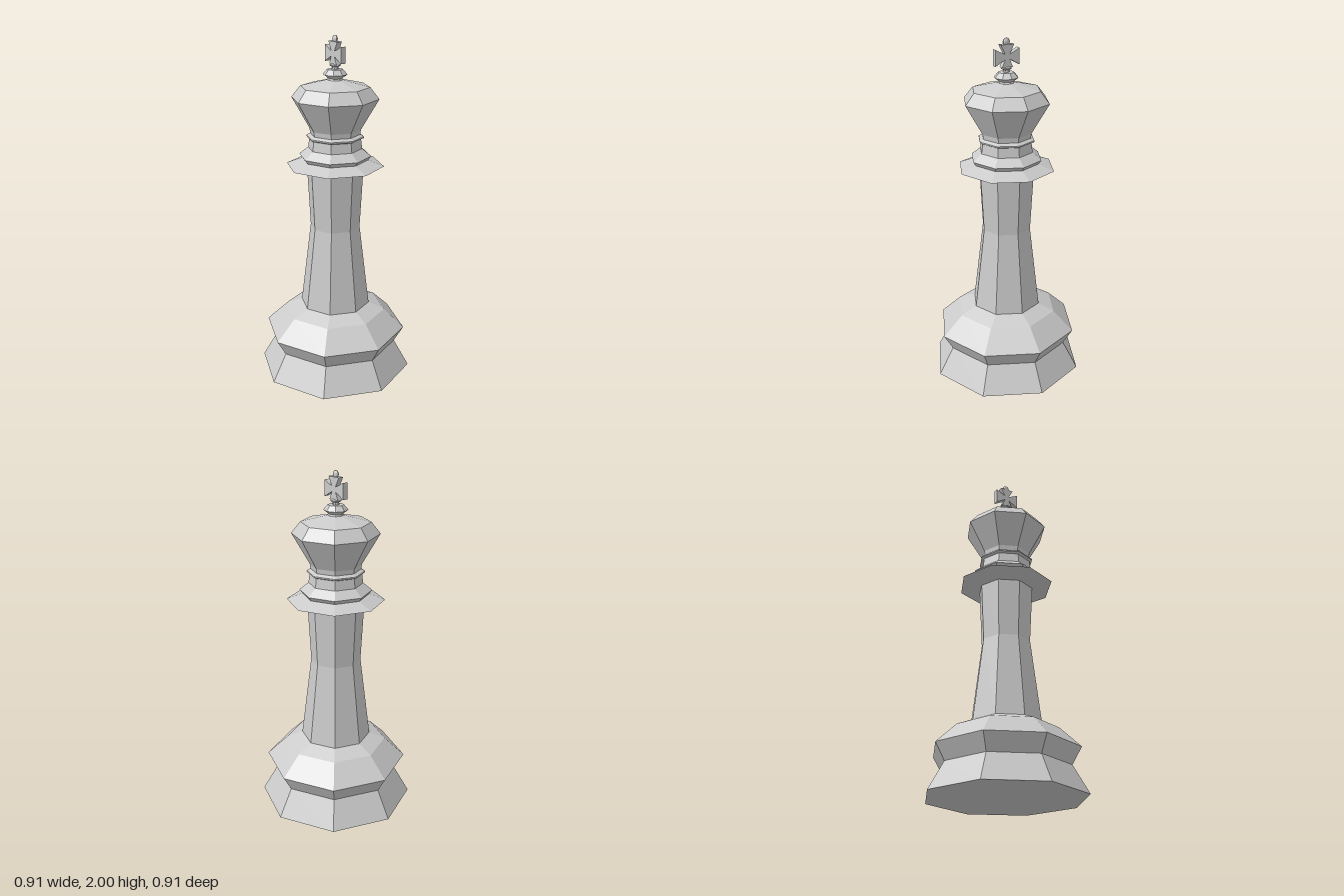
import * as THREE from 'three';

const material = new THREE.MeshStandardMaterial({ color: 0xcccccc, flatShading: true });

function add(group, name, geometry) {
  const mesh = new THREE.Mesh(geometry, material);
  mesh.name = name;
  group.add(mesh);
  return mesh;
}

// Eight-sided turned part from [radius, height] pairs, bottom to top
function turned(group, name, profile) {
  const points = profile.map(([r, y]) => new THREE.Vector2(r, y));
  return add(group, name, new THREE.LatheGeometry(points, 8));
}

export function createModel() {
  const king = new THREE.Group();
  king.name = 'chessKing';

  turned(king, 'base', [
    [0, 0], [0.455, 0], [0.365, 0.16], [0.42, 0.255], [0.3, 0.37], [0.205, 0.41], [0, 0.41],
  ]);
  turned(king, 'shaft', [[0.205, 0.41], [0.145, 0.9], [0.163, 1.24]]);
  turned(king, 'collar', [
    [0.163, 1.24], [0.281, 1.27], [0.19, 1.305], [0.207, 1.328], [0.155, 1.37],
  ]);
  turned(king, 'neck', [
    [0.155, 1.37], [0.148, 1.425], [0.164, 1.432], [0.164, 1.44], [0.143, 1.452], [0.147, 1.48],
  ]);
  turned(king, 'crown', [[0.147, 1.48], [0.248, 1.655], [0.196, 1.72], [0.045, 1.757]]);
  turned(king, 'finial', [
    [0.045, 1.757], [0.04, 1.765], [0.069, 1.787], [0.045, 1.815], [0, 1.817],
  ]);

  // Cross with flared arms, facing sideways
  turned(king, 'crossFoot', [
    [0.02, 1.81], [0.018, 1.828], [0.03, 1.834], [0.03, 1.84], [0.016, 1.846], [0, 1.846],
  ]);
  const half = [
    [0.033, 1.842], [0.014, 1.886], [0.073, 1.852], [0.073, 1.943], [0.014, 1.914], [0.04, 1.966],
  ];
  const outline = [...half, ...half.map(([z, y]) => [-z, y]).reverse()];
  const shape = new THREE.Shape(outline.map(([z, y]) => new THREE.Vector2(z, y)));
  const crossGeometry = new THREE.ExtrudeGeometry(shape, { depth: 0.032, bevelEnabled: false });
  crossGeometry.translate(0, 0, -0.016).rotateY(Math.PI / 2);
  add(king, 'cross', crossGeometry);

  // Small flattened bead on top
  const bead = add(king, 'bead', new THREE.SphereGeometry(0.021, 10, 8));
  bead.scale.x = 0.55;
  bead.position.y = 1.979;

  return king;
}
